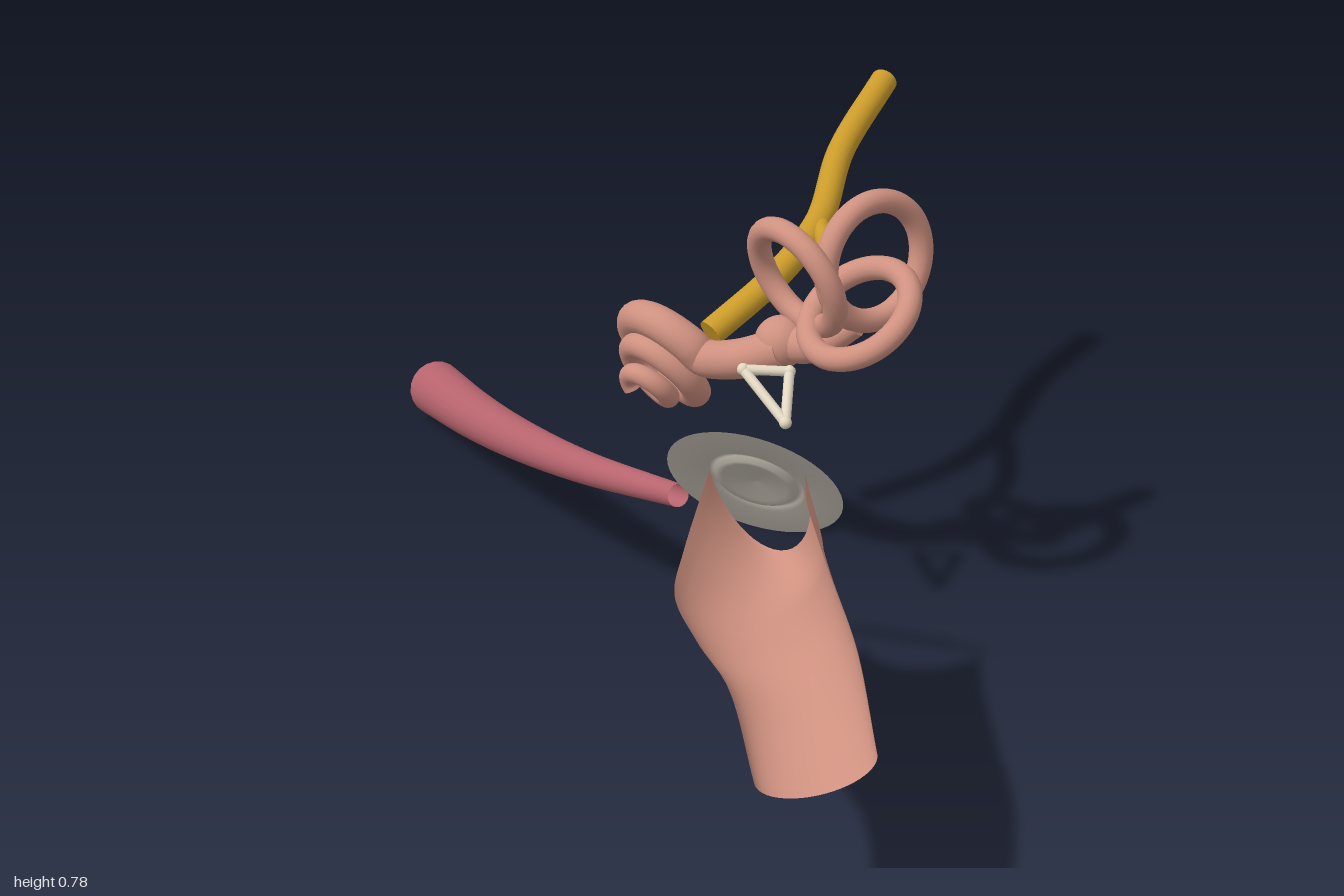
import * as THREE from 'three';

const V = (x, y, z) => new THREE.Vector3(x, y, z);
const Y = V(0, 1, 0), Z = V(0, 0, 1);

function mat(name, color, side = THREE.FrontSide) {
  const m = new THREE.MeshStandardMaterial({ color, side });
  m.name = name;
  return m;
}

function add(group, name, geometry, material) {
  const mesh = new THREE.Mesh(geometry, material);
  mesh.name = name;
  group.add(mesh);
  return mesh;
}

// Smooth tube through points, tapering from r0 to r1, with optional flat ends
function taperedTube(group, name, points, r0, r1, material, capped = true, segs = 64, sides = 20) {
  const curve = new THREE.CatmullRomCurve3(points.map(p => V(...p)));
  const geo = new THREE.TubeGeometry(curve, segs, 1, sides);
  const pos = geo.attributes.position, p = V(0, 0, 0);
  for (let i = 0; i <= segs; i++) {
    const centre = curve.getPointAt(i / segs);
    const r = r0 + (r1 - r0) * i / segs;
    for (let j = 0; j <= sides; j++) {
      const k = i * (sides + 1) + j;
      p.fromBufferAttribute(pos, k).sub(centre).multiplyScalar(r).add(centre);
      pos.setXYZ(k, p.x, p.y, p.z);
    }
  }
  add(group, name, geo, material);
  if (!capped) return;
  for (const u of [0, 1]) {
    const cap = add(group, name + 'End', new THREE.CircleGeometry(u ? r1 : r0, sides), material);
    cap.position.copy(curve.getPointAt(u));
    cap.quaternion.setFromUnitVectors(Z, curve.getTangentAt(u).multiplyScalar(u ? 1 : -1));
  }
}

// Trough-shaped outer canal: each station has front rim, back rim and depth factor
function canalGeometry() {
  const stations = [
    [V(0.26, 0.44, 0.28), V(0.42, 0.475, 0.21), 2],
    [V(0.336, 0.36, 0.39), V(0.5, 0.47, 0.27), 1.38],
    [V(0.41, 0.335, 0.465), V(0.575, 0.455, 0.31), 1],
    [V(0.54, 0.325, 0.52), V(0.67, 0.44, 0.36), 0.8],
    [V(0.7, 0.33, 0.58), V(0.83, 0.41, 0.44), 0.75],
    [V(0.89, 0.29, 0.68), V(1.0, 0.345, 0.54), 0.5],
  ];
  const front = new THREE.CatmullRomCurve3(stations.map(s => s[0]));
  const back = new THREE.CatmullRomCurve3(stations.map(s => s[1]));
  const depth = new THREE.CatmullRomCurve3(stations.map((s, i) => V(i, s[2], 0)));
  const along = V(0.82, -0.05, 0.56).normalize();
  const rows = 40, cols = 24, verts = [], index = [];
  for (let i = 0; i <= rows; i++) {
    const f = front.getPoint(i / rows), b = back.getPoint(i / rows);
    const centre = f.clone().add(b).multiplyScalar(0.5);
    const half = b.clone().sub(f).multiplyScalar(0.5);
    const down = half.clone().cross(along).multiplyScalar(depth.getPoint(i / rows).y);
    for (let j = 0; j <= cols; j++) {
      const a = Math.PI * j / cols;
      const p = centre.clone().addScaledVector(half, Math.cos(a)).addScaledVector(down, Math.sin(a));
      verts.push(p.x, p.y, p.z);
      if (i < rows && j < cols) {
        const k = i * (cols + 1) + j, n = k + cols + 1;
        index.push(k, k + 1, n, k + 1, n + 1, n);
      }
    }
  }
  const geo = new THREE.BufferGeometry();
  geo.setAttribute('position', new THREE.Float32BufferAttribute(verts, 3));
  geo.setIndex(index);
  geo.computeVertexNormals();
  return geo;
}

export function createModel() {
  const model = new THREE.Group();
  model.name = 'innerEar';
  const flesh = mat('fleshPink', 0xcf9180);
  const fleshOpen = mat('fleshPinkOpen', 0xcf9180, THREE.DoubleSide);
  const rose = mat('rose', 0xb9656f, THREE.DoubleSide);
  const gold = mat('nerveGold', 0xcb9b2a);
  const membrane = mat('membraneGrey', 0xc4beb2, THREE.DoubleSide);
  const bone = mat('boneCream', 0xe2d8c2);

  // Outer ear canal
  add(model, 'earCanal', canalGeometry(), fleshOpen);

  // Eardrum: thin disc with a ring-shaped groove
  const profile = [[0, 0.004], [0.055, 0], [0.066, -0.002], [0.072, 0.006], [0.08, 0.006], [0.086, 0], [0.15, 0]];
  const drum = add(model, 'eardrum',
    new THREE.LatheGeometry(profile.map(p => new THREE.Vector2(...p)), 48), membrane);
  drum.position.set(0.29, 0.407, 0.21);
  drum.quaternion.setFromUnitVectors(Y, V(-0.44, 0.55, -0.71).normalize());

  // Tube running down to the throat
  taperedTube(model, 'throatTube', [
    [-0.985, 0.055, -0.003], [-0.75, 0.108, 0.07], [-0.5, 0.17, 0.14],
    [-0.2, 0.247, 0.205], [0.125, 0.33, 0.243],
  ], 0.053, 0.02, rose, false);

  // Spiral cochlea, leaving the vestibule and winding towards its apex
  const spiral = [[0.04, 0.49, -0.04], [-0.02, 0.462, 0.005]];
  const turns = 2.5, steps = 50;
  for (let i = 0; i <= steps; i++) {
    const u = i / steps, a = 0.3 + u * turns * Math.PI * 2;
    const r = 0.1 - 0.075 * u, c = Math.cos(a) * r, s = Math.sin(a) * r, h = 0.1 * u;
    spiral.push([-0.2 + c, 0.415 + 0.83 * s - 0.55 * h, 0.55 * s + 0.83 * h]);
  }
  taperedTube(model, 'cochlea', spiral, 0.036, 0.017, flesh, true, 220, 18);

  // Vestibule
  const vestibule = add(model, 'vestibule', new THREE.SphereGeometry(0.046, 28, 20), flesh);
  vestibule.position.set(0.03, 0.497, -0.05);
  taperedTube(model, 'vestibuleNeck', [[0.03, 0.497, -0.05], [0.09, 0.505, -0.075], [0.145, 0.55, -0.12]],
    0.036, 0.022, flesh, true, 24);

  // Three semicircular canals
  const rings = [
    ['frontLoop', [0.073, 0.63, -0.05], [0, -0.32, 0.95], 0.096],
    ['sideLoop', [0.143, 0.655, -0.16], [1, 0.08, 0], 0.104],
    ['flatLoop', [0.165, 0.58, -0.11], [0, 0.8, 0.59], 0.096],
  ];
  for (const [name, centre, normal, radius] of rings) {
    const ring = add(model, name, new THREE.TorusGeometry(radius, 0.021, 16, 56), flesh);
    ring.position.set(...centre);
    ring.quaternion.setFromUnitVectors(Z, V(...normal).normalize());
  }

  // Stirrup bone: three thin struts with rounded corners
  const corners = [V(0.06, 0.485, 0.055), V(0.175, 0.428, 0.055), V(0.11, 0.482, -0.005)];
  corners.forEach((p, i) => {
    const q = corners[(i + 1) % 3], d = q.clone().sub(p);
    const strut = add(model, 'stirrupStrut', new THREE.CylinderGeometry(0.009, 0.009, d.length(), 12), bone);
    strut.position.copy(p).addScaledVector(d, 0.5);
    strut.quaternion.setFromUnitVectors(Y, d.normalize());
    add(model, 'stirrupCorner', new THREE.SphereGeometry(0.011, 12, 8), bone).position.copy(p);
  });

  // Nerve trunk to the cochlea, with a thinner branch to the vestibule
  taperedTube(model, 'nerveTrunk', [
    [-0.455, 0.69, -0.68], [-0.36, 0.622, -0.5], [-0.23, 0.56, -0.34],
    [-0.175, 0.51, -0.2], [-0.175, 0.44, -0.055],
  ], 0.025, 0.025, gold);
  taperedTube(model, 'nerveBranch', [
    [-0.235, 0.562, -0.345], [-0.15, 0.55, -0.295], [-0.06, 0.532, -0.225], [0.02, 0.505, -0.095],
  ], 0.018, 0.016, gold);

  return model;
}
